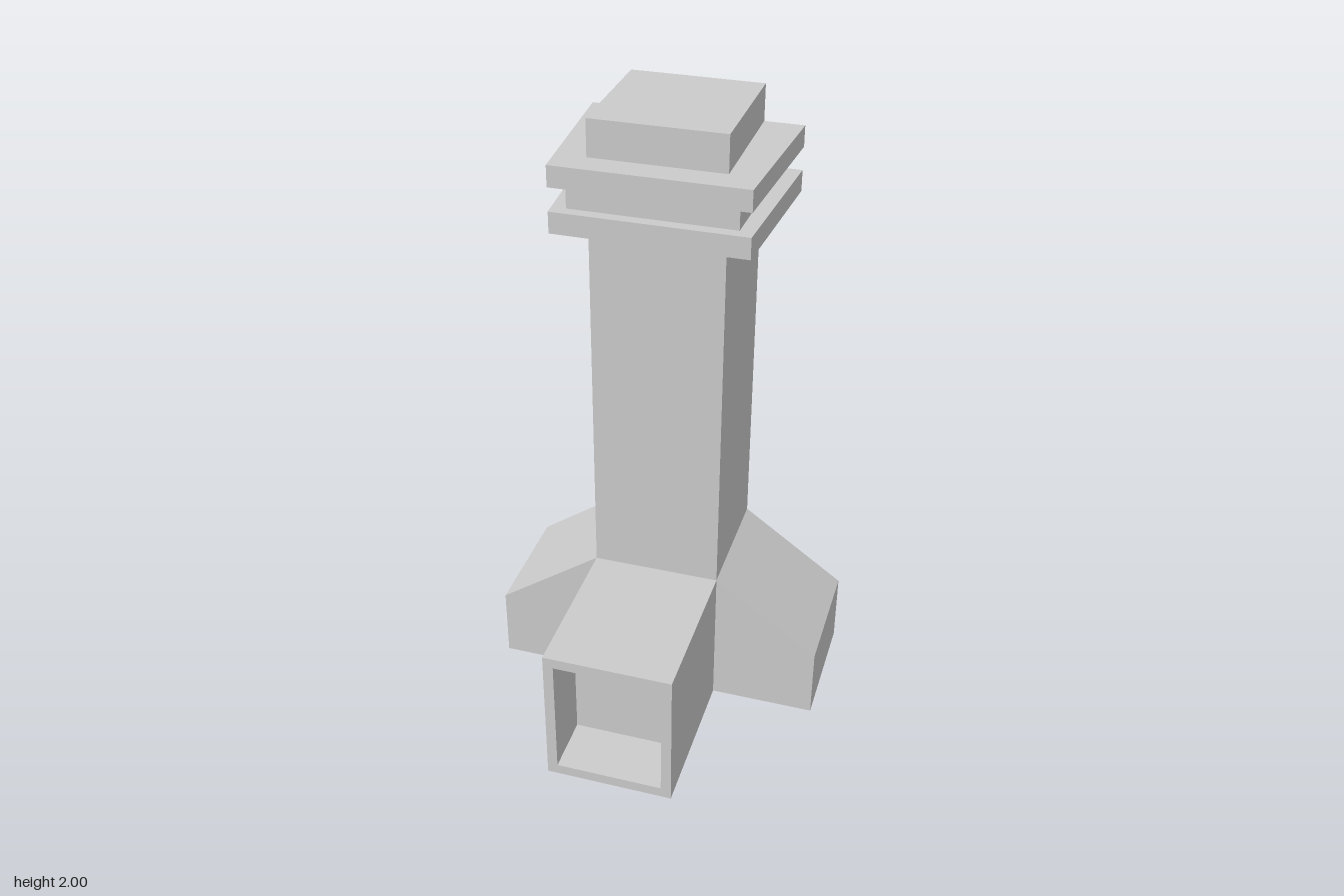
import * as THREE from 'three';

const BACK = -0.465, FRONT = 0.465, SHAFT_FRONT = -0.05, HALF = 0.205;

export function createModel() {
  const model = new THREE.Group();
  const material = new THREE.MeshStandardMaterial({ color: 0xcccccc, flatShading: true });

  const outline = (pts) => pts.map(([x, y]) => new THREE.Vector2(x, y));
  const rect = (x, y0, y1) => outline([[-x, y0], [x, y0], [x, y1], [-x, y1]]);
  const extrude = (shape, depth) => new THREE.ExtrudeGeometry(shape, { depth, bevelEnabled: false });
  const add = (name, geometry) => {
    const mesh = new THREE.Mesh(geometry, material);
    mesh.name = name;
    model.add(mesh);
  };

  // Shaft and sloping shoulders share one silhouette
  const half = [[0.543, 0], [0.543, 0.24], [HALF, 0.48], [HALF, 2]];
  const mirrored = half.map(([x, y]) => [-x, y]).reverse();
  const stack = extrude(new THREE.Shape(outline([...half, ...mirrored])), SHAFT_FRONT - BACK);
  add('chimneyStack', stack.translate(0, 0, BACK));

  // Hearth: solid rear block and a hollow front frame
  const recess = 0.19;
  const rear = extrude(new THREE.Shape(rect(HALF, 0, 0.48)), FRONT - recess - SHAFT_FRONT);
  add('hearthBlock', rear.translate(0, 0, SHAFT_FRONT));
  const frame = new THREE.Shape(rect(HALF, 0, 0.48));
  frame.holes.push(new THREE.Path(rect(0.172, 0.035, 0.445)));
  add('hearthOpening', extrude(frame, recess).translate(0, 0, FRONT - recess));

  // Collar bands: tapered in plan, wrapping the front and sides of the shaft
  const addBand = (name, backX, frontX, frontZ, y0, y1) => {
    const plan = new THREE.Shape(outline([
      [backX, -BACK], [HALF, -BACK], [HALF, -SHAFT_FRONT], [-HALF, -SHAFT_FRONT],
      [-HALF, -BACK], [-backX, -BACK], [-frontX, -frontZ], [frontX, -frontZ],
    ]));
    add(name, extrude(plan, y1 - y0).rotateX(-Math.PI / 2).translate(0, y0, 0));
  };
  addBand('lowerBand', 0.328, 0.294, 0.035, 1.68, 1.747);
  addBand('middleBand', 0.268, 0.252, 0, 1.747, 1.82);
  addBand('upperBand', 0.328, 0.294, 0.035, 1.82, 1.886);

  return model;
}
